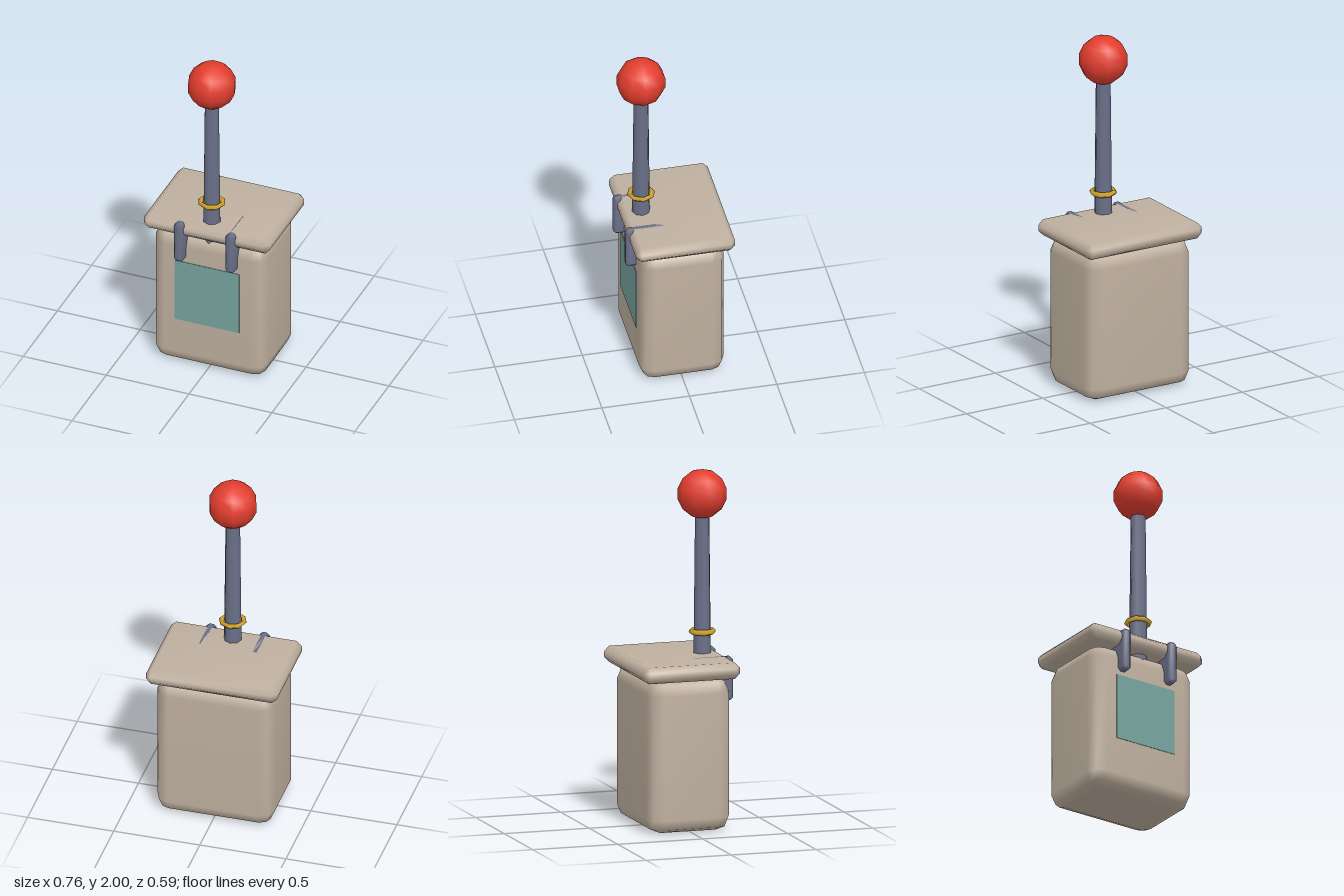
import * as THREE from 'three';
import { mergeVertices } from 'three/addons/utils/BufferGeometryUtils.js';

const material = (name, color) => {
  const m = new THREE.MeshStandardMaterial({ color });
  m.name = name;
  return m;
};

// Box with rounded edges made of few segments, smooth-shaded, with fan caps
function softBox(w, h, d, r, seg) {
  const pos = [], index = [];
  const n = 4 * (seg + 1), rows = 2 * (seg + 1);
  for (let i = 0; i < rows; i++) {
    const top = i > seg;
    const phi = ((top ? i - seg - 1 : i - seg) / seg) * Math.PI / 2;
    const y = (top ? 1 : -1) * (h / 2 - r) + r * Math.sin(phi);
    const ring = r * Math.cos(phi);
    for (let c = 0; c < 4; c++) {
      const sx = c === 0 || c === 3 ? 1 : -1, sz = c < 2 ? 1 : -1;
      for (let k = 0; k <= seg; k++) {
        const a = (c + k / seg) * Math.PI / 2;
        pos.push(sx * (w / 2 - r) + ring * Math.cos(a), y, sz * (d / 2 - r) + ring * Math.sin(a));
      }
    }
  }
  for (let i = 0; i < rows - 1; i++) {
    for (let j = 0; j < n; j++) {
      const a = i * n + j, b = i * n + (j + 1) % n;
      index.push(a, a + n, b, b, a + n, b + n);
    }
  }
  const bottom = rows * n, last = (rows - 1) * n;
  pos.push(0, -h / 2, 0, 0, h / 2, 0);
  for (let j = 0; j < n; j++) {
    const k = (j + 1) % n;
    index.push(bottom, j, k, bottom + 1, last + k, last + j);
  }
  const g = new THREE.BufferGeometry();
  g.setAttribute('position', new THREE.Float32BufferAttribute(pos, 3));
  g.setIndex(index);
  const merged = mergeVertices(g, 1e-4);
  merged.computeVertexNormals();
  return merged;
}

export function createModel() {
  const model = new THREE.Group();
  model.name = 'leverBox';
  const casing = material('casing beige', 0xbfb09f);
  const steel = material('slate metal', 0x6a7089);
  const red = material('knob red', 0xe23d2e);
  const gold = material('ring gold', 0xd9a92e);
  const teal = material('panel teal', 0x76a39e);

  const add = (name, geometry, mat, x, y, z) => {
    const mesh = new THREE.Mesh(geometry, mat);
    mesh.name = name;
    mesh.position.set(x, y, z);
    model.add(mesh);
    return mesh;
  };

  // Casing and overhanging lid
  add('body', softBox(0.68, 0.865, 0.485, 0.08, 2), casing, 0, 0.4325, -0.0075);
  add('lid', softBox(0.76, 0.092, 0.565, 0.03, 1), casing, 0, 0.913, -0.0125);

  // Front panel
  add('frontPanel', new THREE.BoxGeometry(0.39, 0.39, 0.006), teal, 0, 0.49, 0.235);

  // Brackets hooked over the front edge of the lid
  for (const [side, name] of [[1, 'leftBracket'], [-1, 'rightBracket']]) {
    add(name, softBox(0.057, 0.248, 0.24, 0.016, 1), steel, side * 0.155, 0.835, 0.17);
  }

  // Lever: tapered shaft, collar ring and ball knob
  const leverZ = 0.165;
  add('shaft', new THREE.CylinderGeometry(0.042, 0.052, 0.93, 8), steel, 0, 1.295, leverZ);
  const ring = add('collarRing', new THREE.TorusGeometry(0.064, 0.016, 4, 8), gold, 0, 1.08, leverZ);
  ring.rotation.x = Math.PI / 2;
  add('knob', new THREE.SphereGeometry(0.14, 10, 7), red, 0, 1.86, leverZ);

  return model;
}
